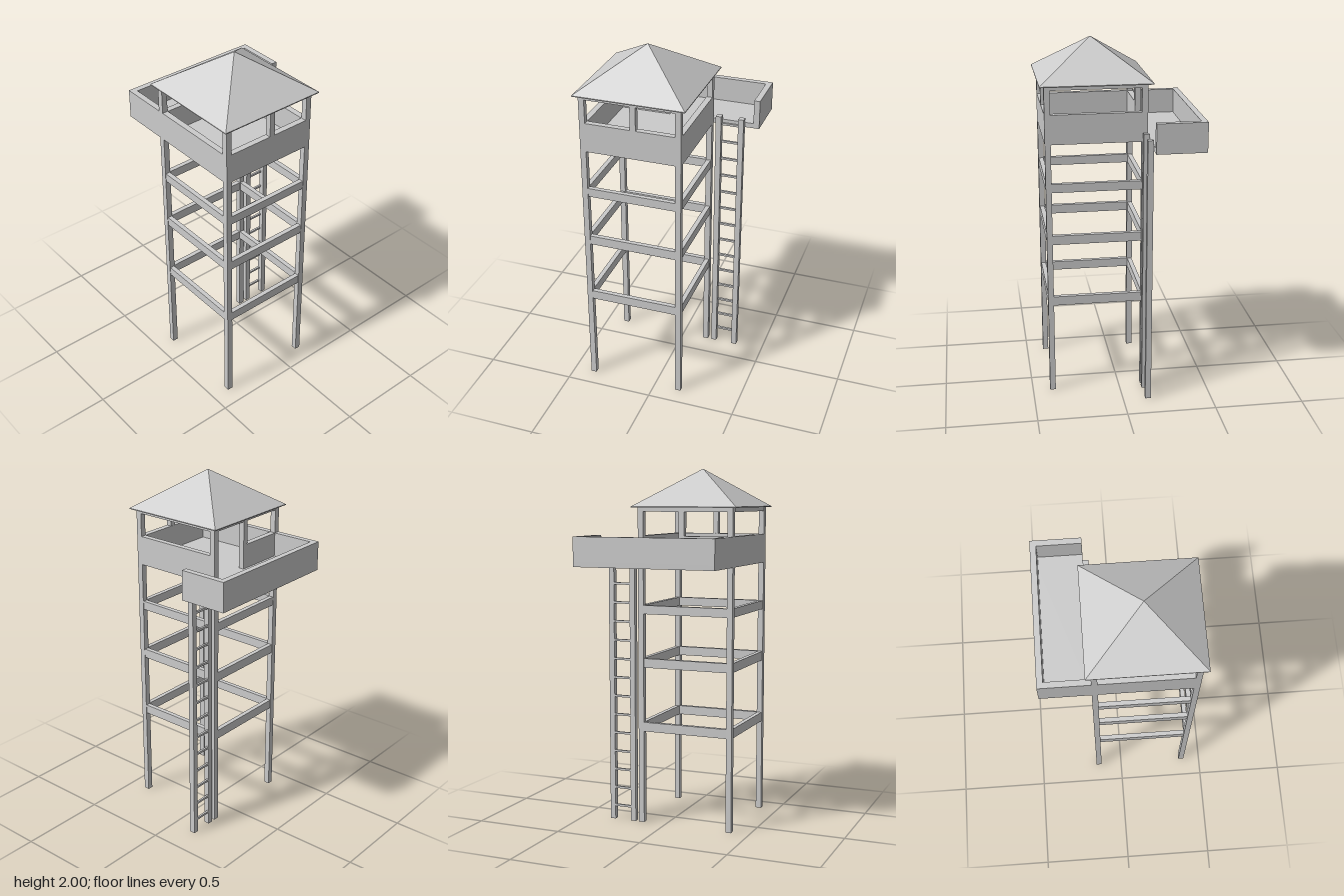
import * as THREE from 'three';

const material = new THREE.MeshStandardMaterial({ color: 0xcccccc, flatShading: true });

// Tower footprint, gallery outline and shared sizes
const X0 = -0.398, X1 = 0.16, Z0 = -0.157, Z1 = 0.402;
const GX1 = 0.42, GZ0 = -0.43;
const POST = 0.032, WALL = 0.033;
const DECK = 1.468, FLOOR = 1.496, RAIL = 1.632, EAVE = 1.786;

export function createModel() {
  const model = new THREE.Group();

  const addGroup = (name) => {
    const group = new THREE.Group();
    group.name = name;
    model.add(group);
    return group;
  };

  // Box given by its extents along each axis
  const box = (parent, name, [x0, x1], [y0, y1], [z0, z1]) => {
    const mesh = new THREE.Mesh(new THREE.BoxGeometry(x1 - x0, y1 - y0, z1 - z0), material);
    mesh.name = name;
    mesh.position.set((x0 + x1) / 2, (y0 + y1) / 2, (z0 + z1) / 2);
    parent.add(mesh);
  };

  // Four corner posts
  const posts = addGroup('cornerPosts');
  for (const x of [X0, X1 - POST]) {
    for (const z of [Z0, Z1 - POST]) {
      box(posts, 'cornerPost', [x, x + POST], [0, EAVE], [z, z + POST]);
    }
  }

  // Rings of beams between the posts; the highest carries the roof
  const beams = addGroup('crossBeams');
  const inset = 0.003, depth = 0.026;
  for (const y of [[0.53, 0.582], [0.895, 0.947], [1.197, 1.246], [1.763, EAVE]]) {
    for (const z of [Z0 + inset, Z1 - inset - depth]) {
      box(beams, 'crossBeam', [X0 + POST, X1 - POST], y, [z, z + depth]);
    }
    for (const x of [X0 + inset, X1 - inset - depth]) {
      box(beams, 'crossBeam', [x, x + depth], y, [Z0 + POST, Z1 - POST]);
    }
  }

  // Cabin and gallery floors
  const floors = addGroup('floors');
  box(floors, 'cabinFloor', [X0, X1], [DECK, FLOOR], [Z0, Z1]);
  box(floors, 'galleryFloor', [X0, GX1], [DECK, FLOOR], [GZ0, Z0]);

  // Parapet walls, leaving the gallery open above the ladder
  const walls = addGroup('parapetWalls');
  const wallY = [DECK, RAIL];
  box(walls, 'frontWall', [X0, X1], wallY, [Z1 - WALL, Z1]);
  box(walls, 'rightWall', [X0, X0 + WALL], wallY, [GZ0, Z1 - WALL]);
  box(walls, 'leftWall', [X1 - WALL, X1], wallY, [Z0, Z1 - WALL]);
  box(walls, 'galleryBackWall', [X0 + WALL, GX1], wallY, [GZ0, GZ0 + WALL]);
  box(walls, 'galleryEndWall', [GX1 - WALL, GX1], wallY, [GZ0 + WALL, Z0]);
  // Half wall beside the doorway to the gallery
  box(walls, 'doorwayWall', [X0 + WALL, -0.115], [FLOOR, RAIL], [Z0, Z0 + WALL]);

  // Middle posts of the front window and the doorway
  box(model, 'windowPost', [-0.116, -0.085], [RAIL, EAVE], [Z1 - POST, Z1]);
  box(model, 'doorPost', [-0.116, -0.085], [FLOOR, EAVE], [Z0, Z0 + POST]);

  // Pyramid roof with a thin rim
  const roof = addGroup('roof');
  const cx = -0.117, cz = 0.121, half = 0.306;
  box(roof, 'eaves', [cx - half, cx + half], [EAVE, EAVE + 0.005], [cz - half, cz + half]);
  const slopeHeight = 2 - EAVE - 0.005;
  const slopes = new THREE.Mesh(
    new THREE.ConeGeometry(half * Math.SQRT2, slopeHeight, 4).rotateY(Math.PI / 4), material);
  slopes.name = 'roofSlopes';
  slopes.position.set(cx, 2 - slopeHeight / 2, cz);
  roof.add(slopes);

  // Ladder up to the gallery opening
  const ladder = addGroup('ladder');
  for (const x of [0.181, 0.309]) {
    box(ladder, 'ladderRail', [x, x + 0.031], [0, 1.522], [-0.158, -0.126]);
  }
  for (let i = 0; i < 14; i++) {
    const y = 0.076 + i * 0.1068;
    box(ladder, 'ladderRung', [0.212, 0.309], [y, y + 0.012], [-0.158, -0.146]);
  }

  return model;
}
